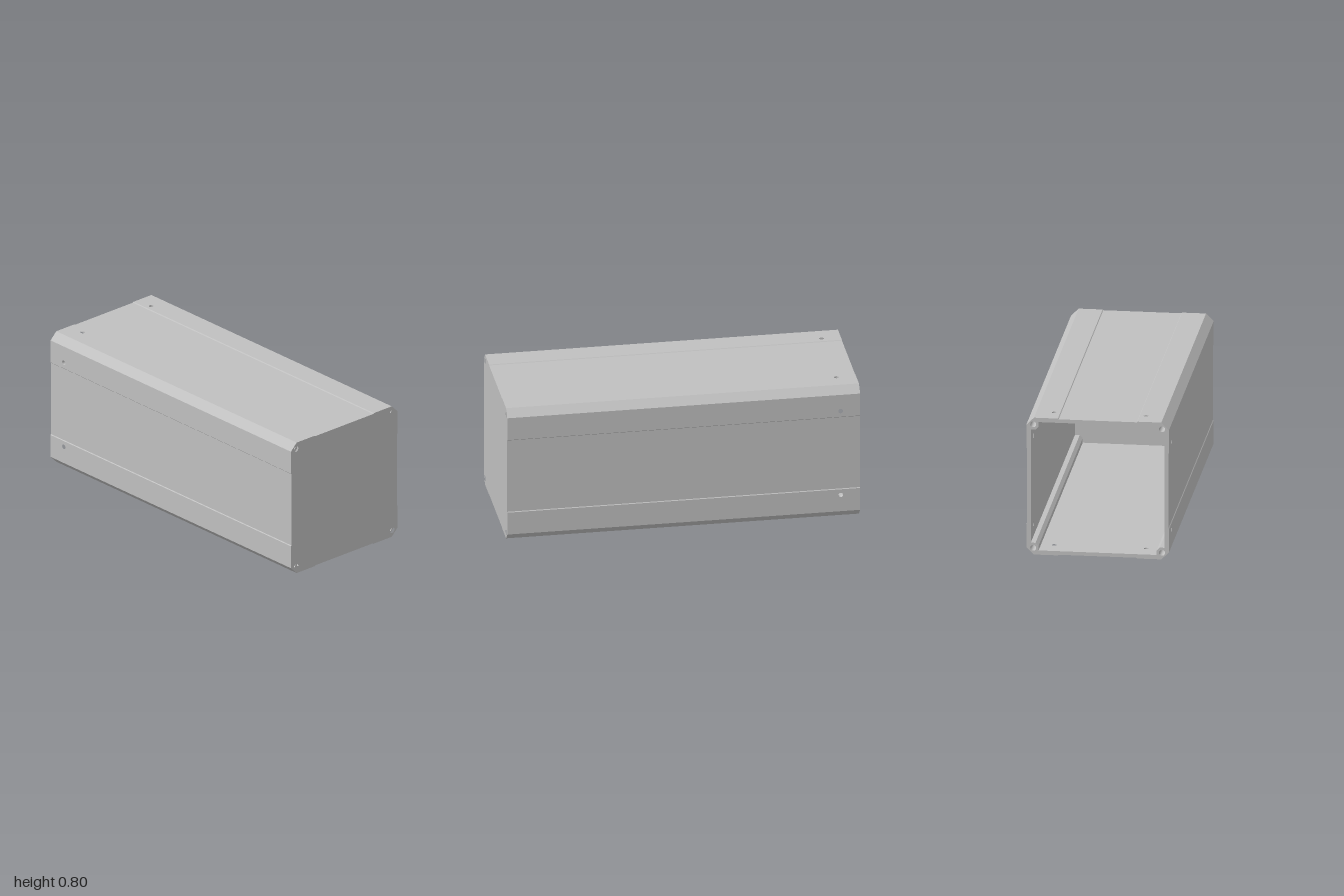
import * as THREE from 'three';

const H = 0.402;        // half width of the housing
const INNER = 0.377;    // inner wall face
const PLATE = 0.025;    // end plate thickness
const SCREW = 0.363;    // screw channel offset
const FRONT = 1 - PLATE;

const polygon = (pts) => new THREE.Shape(pts.map(([x, y]) => new THREE.Vector2(x, y)));

function drill(shape, x, y, r) {
  const hole = new THREE.Path();
  hole.absarc(x, y, r, 0, Math.PI * 2, true);
  shape.holes.push(hole);
}

const extrude = (shape, depth) =>
  new THREE.ExtrudeGeometry(shape, { depth, bevelEnabled: false, curveSegments: 16 });

export function createModel() {
  const group = new THREE.Group();
  const metal = new THREE.MeshStandardMaterial({ color: 0xc0c0c0 });
  metal.name = 'grey metal';

  const body = new THREE.Group();
  body.name = 'housing';
  body.position.y = H;
  group.add(body);

  const add = (parent, name, geometry) => {
    const mesh = new THREE.Mesh(geometry, metal);
    mesh.name = name;
    parent.add(mesh);
  };

  // Slightly recessed centre of each wall
  const centre = extrude(polygon([
    [-0.224, INNER], [0.224, INNER], [0.224, H], [0.22, H - 0.004], [-0.22, H - 0.004], [-0.224, H],
  ]), 1 + FRONT).translate(0, 0, -1);

  // Raised strips beside it, each drilled near the open back end
  const strips = [-1, 1].map((s) => {
    const shape = polygon([[s * 0.224, -FRONT], [s * 0.333, -FRONT], [s * 0.333, 1], [s * 0.224, 1]]);
    drill(shape, s * 0.259, 0.89, 0.0135);
    return extrude(shape, H - INNER).rotateX(-Math.PI / 2).translate(0, INNER, 0);
  });

  // Chamfered corner with a screw channel along the full length
  const cornerShape = polygon([
    [0.333, H], [0.333, 0.35], [0.35, 0.333], [H, 0.333], [H, 0.359], [0.359, H],
  ]);
  drill(cornerShape, SCREW, SCREW, 0.017);
  const corner = extrude(cornerShape, 1 + FRONT).translate(0, 0, -1);

  for (let i = 0; i < 4; i++) {
    const side = new THREE.Group();
    side.name = 'side' + (i + 1);
    side.rotation.z = i * Math.PI / 2;
    add(side, 'wallCentre', centre);
    strips.forEach((g) => add(side, 'wallStrip', g));
    add(side, 'cornerChannel', corner);
    body.add(side);
  }

  // Closed front end, following the outer section
  const outline = [];
  let edge = [[-0.359, H], [-0.224, H], [-0.22, H - 0.004], [0.22, H - 0.004], [0.224, H], [0.359, H]];
  for (let i = 0; i < 4; i++) {
    outline.push(...edge);
    edge = edge.map(([x, y]) => [y, -x]);
  }
  const plate = polygon(outline);
  for (const sx of [-1, 1]) for (const sy of [-1, 1]) drill(plate, sx * SCREW, sy * SCREW, 0.017);
  add(body, 'frontPlate', extrude(plate, PLATE).translate(0, 0, FRONT));

  return group;
}
